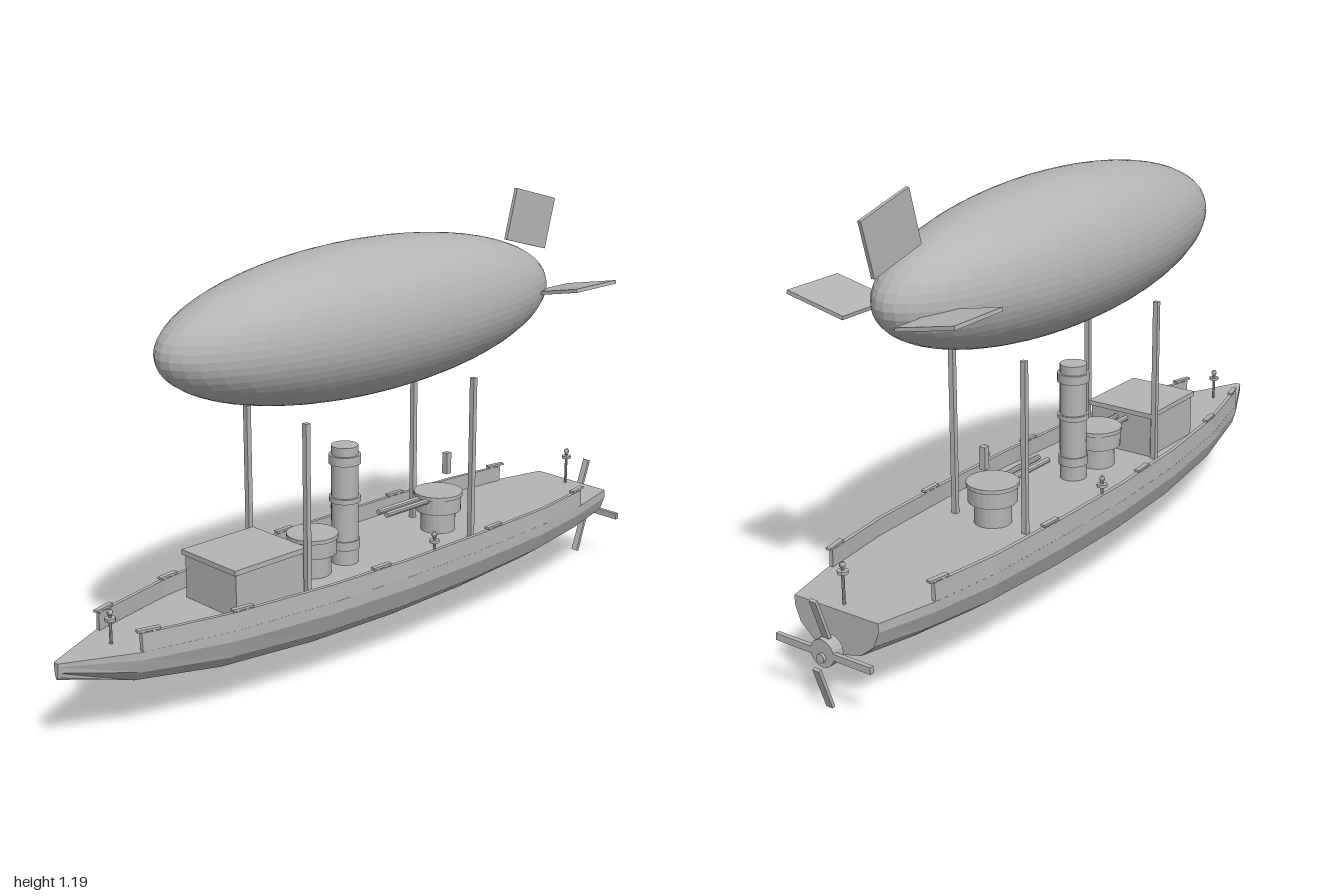
import * as THREE from 'three';

const grey = new THREE.MeshStandardMaterial({ color: 0xb4b4b4, flatShading: true });
grey.name = 'hull grey';

const DECK = 0.243, RAIL = 0.29;

// Hull stations: x, half width, keel height
const STATIONS = [
  [-1, 0.008, 0.2], [-0.815, 0.095, 0.14], [-0.57, 0.155, 0.102], [-0.28, 0.192, 0.083],
  [0, 0.207, 0.077], [0.28, 0.205, 0.08], [0.55, 0.195, 0.093], [0.757, 0.168, 0.11], [0.92, 0.13, 0.125],
];

// Half section: fraction of half width, fraction of height from keel to deck
const SECTION = [[1, 1], [1, 0.8], [0.88, 0.45], [0.56, 0.15], [0, 0]];

function halfWidthAt(x) {
  for (let i = 1; i < STATIONS.length; i++) {
    const [x0, w0] = STATIONS[i - 1], [x1, w1] = STATIONS[i];
    if (x <= x1) return w0 + (w1 - w0) * (x - x0) / (x1 - x0);
  }
  return STATIONS[STATIONS.length - 1][1];
}

// Skin closed convex loops of [x, y, z], ordered along +x, with end caps
function loft(loops) {
  const n = loops[0].length, index = [];
  for (let s = 0; s < loops.length - 1; s++) {
    for (let i = 0; i < n; i++) {
      const a = s * n + i, b = s * n + (i + 1) % n;
      index.push(a, b, b + n, a, b + n, a + n);
    }
  }
  const end = (loops.length - 1) * n;
  for (let i = 1; i < n - 1; i++) {
    index.push(0, i + 1, i, end, end + i, end + i + 1);
  }
  const g = new THREE.BufferGeometry();
  g.setAttribute('position', new THREE.Float32BufferAttribute(loops.flat(2), 3));
  g.setIndex(index);
  g.computeVertexNormals();
  return g;
}

export function createModel() {
  const model = new THREE.Group();
  model.name = 'airshipGunboat';

  function add(name, geometry, x = 0, y = 0, z = 0, parent = model) {
    const m = new THREE.Mesh(geometry, grey);
    m.name = name;
    m.position.set(x, y, z);
    parent.add(m);
    return m;
  }
  const box = (name, w, h, d, x, y, z, parent) => add(name, new THREE.BoxGeometry(w, h, d), x, y, z, parent);
  // Upright cylinder between two heights
  const drum = (name, r, y0, y1, x, z, sides = 24, parent = model) =>
    add(name, new THREE.CylinderGeometry(r, r, y1 - y0, sides), x, (y0 + y1) / 2, z, parent);

  // Hull with flat deck and transom
  add('hull', loft(STATIONS.map(([x, w, keel]) => {
    const half = SECTION.map(([u, t]) => [x, keel + t * (DECK - keel), u * w]);
    const other = half.slice(0, -1).reverse().map(([a, b, c]) => [a, b, -c]);
    return [...half, ...other];
  })));

  // Bulwarks along both sides
  for (const side of [1, -1]) {
    add('bulwark', loft(STATIONS.slice(1, -1).map(([x, w]) => {
      const loop = [[x, RAIL, w - 0.014], [x, RAIL, w - 0.003], [x, DECK - 0.005, w], [x, DECK - 0.005, w - 0.012]];
      return side > 0 ? loop : loop.map(([a, b, c]) => [a, b, -c]).reverse();
    })));

    // Mooring cleats on the rail
    for (const x of [-0.795, -0.55, -0.11, 0.33, 0.74]) {
      const cleat = new THREE.Group();
      cleat.name = 'cleat';
      cleat.position.set(x, RAIL, side * (halfWidthAt(x) - 0.009));
      const slope = (halfWidthAt(x + 0.03) - halfWidthAt(x - 0.03)) / 0.06;
      cleat.rotation.y = -side * Math.atan(slope);
      model.add(cleat);
      box('cleatBar', 0.06, 0.006, 0.014, 0, 0.006, 0, cleat);
      for (const dx of [-0.014, 0.014]) box('cleatFoot', 0.008, 0.006, 0.01, dx, 0.001, 0, cleat);
    }

    // Posts carrying the balloon
    for (const x of [-0.3, 0.325]) box('balloonPost', 0.014, 0.467, 0.015, x, 0.476, side * 0.114);
  }

  // Cabin with a slightly overhanging roof
  box('cabin', 0.226, 0.122, 0.2, -0.415, 0.304, 0);
  box('cabinRoof', 0.24, 0.014, 0.212, -0.415, 0.368, 0);

  // Funnel with collars
  drum('funnel', 0.037, DECK, 0.575, -0.058, 0);
  drum('funnelCap', 0.044, 0.525, 0.55, -0.058, 0);
  drum('funnelCollar', 0.043, 0.418, 0.432, -0.058, 0);
  drum('funnelBase', 0.041, 0.285, 0.31, -0.058, 0);

  // Twin-gun turrets, barrels towards the bow
  for (const [x, reach] of [[-0.178, 0.13], [0.311, 0.226]]) {
    drum('turretPedestal', 0.05, DECK, 0.305, x, 0);
    drum('turret', 0.066, 0.303, 0.35, x, 0);
    drum('turretRoof', 0.07, 0.346, 0.357, x, 0);
    for (const z of [-0.016, 0.016]) {
      const barrel = add('gunBarrel', new THREE.CylinderGeometry(0.008, 0.008, reach, 10), x - reach / 2, 0.343, z);
      barrel.rotation.z = Math.PI / 2;
    }
  }
  box('sight', 0.018, 0.062, 0.018, 0.345, 0.432, 0);

  // Signal lamps on the bow, stern and both rails
  const lampSpots = [[-0.84, DECK, 0, 0.09], [0.89, DECK, 0, 0.11], [0.09, RAIL, 0.194, 0.05], [0.09, RAIL, -0.194, 0.05]];
  for (const [x, y, z, h] of lampSpots) {
    const lamp = new THREE.Group();
    lamp.name = 'signalLamp';
    model.add(lamp);
    drum('lampStem', 0.004, y, y + h, x, z, 8, lamp);
    drum('lampDisc', 0.014, y + h - 0.03, y + h - 0.022, x, z, 12, lamp);
    add('lampBulb', new THREE.SphereGeometry(0.008, 10, 8), x, y + h - 0.008, z, lamp);
  }

  // Propeller with shaft, hub and four pitched blades
  const shaft = add('propellerShaft', new THREE.CylinderGeometry(0.012, 0.012, 0.12, 12), 0.92, 0.14, 0);
  const hub = add('propellerHub', new THREE.CylinderGeometry(0.036, 0.036, 0.034, 16), 0.955, 0.15, 0);
  shaft.rotation.z = hub.rotation.z = Math.PI / 2;
  for (const y of [0.237, 0.06]) {
    box('propellerBlade', 0.009, 0.122, 0.02, 0.972, y, 0).rotation.z = -0.34;
  }
  for (const side of [1, -1]) box('propellerBlade', 0.012, 0.018, 0.122, 0.966, 0.15, side * 0.086);

  // Balloon envelope
  add('balloon', new THREE.SphereGeometry(1, 48, 32), 0.027, 0.915, 0).scale.set(0.69, 0.203, 0.218);

  // Tail fins
  box('topFin', 0.176, 0.148, 0.01, 0.681, 1.094, 0).rotation.z = -0.27;
  for (const side of [1, -1]) {
    box('sideFin', 0.176, 0.01, 0.176, 0.68, 0.916, side * 0.164).rotation.x = -side * 0.2;
  }

  return model;
}
